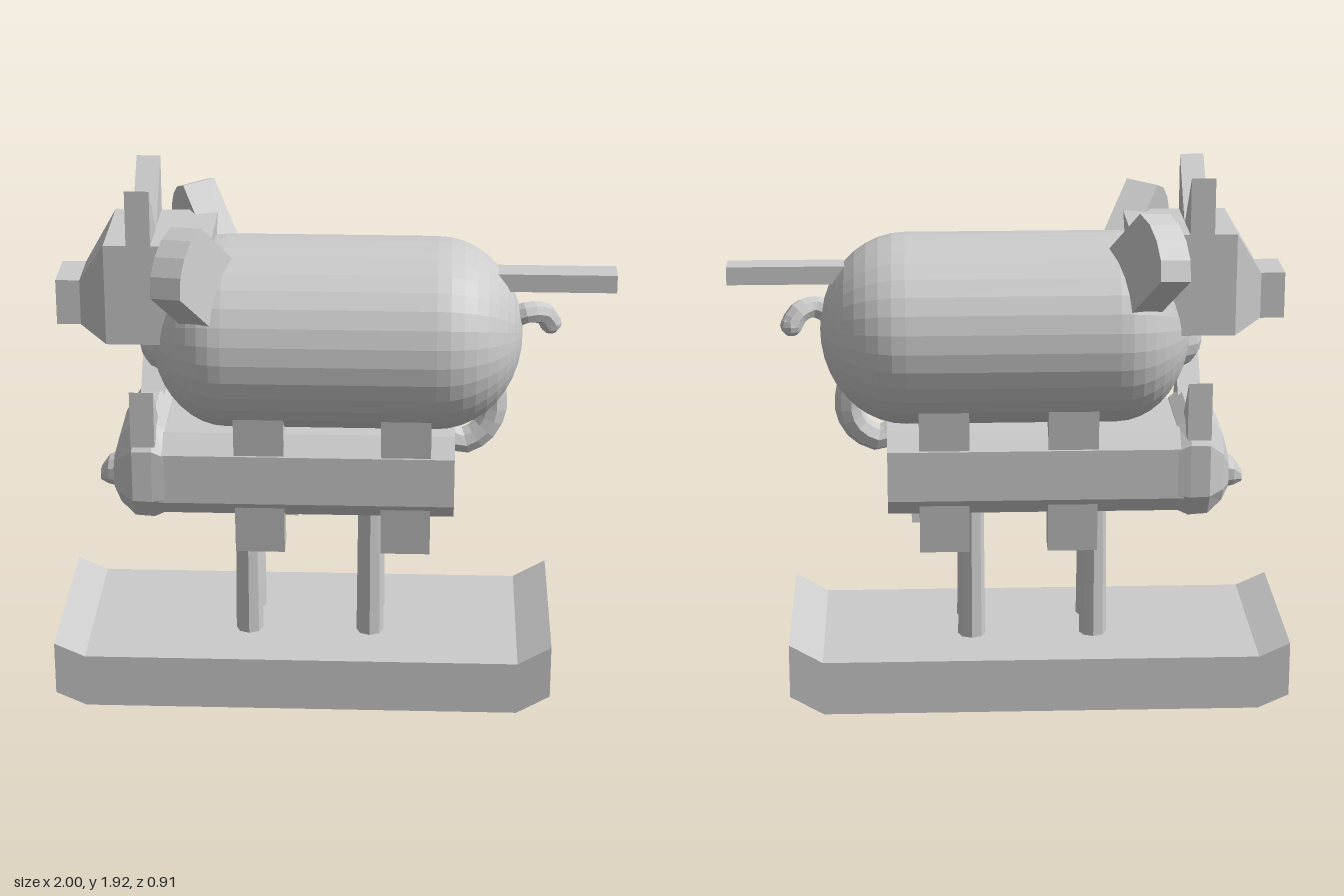
import * as THREE from 'three';

const material = new THREE.MeshStandardMaterial({ color: 0xcccccc, flatShading: true });

export function createModel() {
  const model = new THREE.Group();

  function add(name, geometry, x = 0, y = 0, z = 0) {
    const mesh = new THREE.Mesh(geometry, material);
    mesh.name = name;
    mesh.position.set(x, y, z);
    model.add(mesh);
    return mesh;
  }

  // Box given by its limits
  const block = (name, x0, x1, y0, y1, z0, z1) =>
    add(name, new THREE.BoxGeometry(x1 - x0, y1 - y0, z1 - z0), (x0 + x1) / 2, (y0 + y1) / 2, (z0 + z1) / 2);

  // Loft along x; each section is [x, halfWidth, bottom, top], cut = corner chamfer as a fraction
  function loft(sections, cut) {
    const rings = sections.map(([x, w, y0, y1]) => {
      const a = w * (1 - cut), c = (y1 - y0) * cut * 0.8;
      const yz = cut
        ? [[y1, a], [y1 - c, w], [y0 + c, w], [y0, a], [y0, -a], [y0 + c, -w], [y1 - c, -w], [y1, -a]]
        : [[y1, w], [y0, w], [y0, -w], [y1, -w]];
      return yz.map(([y, z]) => [x, y, z]);
    });
    const out = [], n = rings[0].length, last = rings.length - 1;
    const tri = (...points) => points.forEach((p) => out.push(...p));
    for (let r = 0; r < last; r++) {
      for (let i = 0; i < n; i++) {
        const j = (i + 1) % n, a = rings[r], b = rings[r + 1];
        tri(a[i], a[j], b[j]);
        tri(a[i], b[j], b[i]);
      }
    }
    for (let i = 1; i < n - 1; i++) {
      tri(rings[0][0], rings[0][i + 1], rings[0][i]);
      tri(rings[last][0], rings[last][i], rings[last][i + 1]);
    }
    const geometry = new THREE.BufferGeometry();
    geometry.setAttribute('position', new THREE.Float32BufferAttribute(out, 3));
    geometry.computeVertexNormals();
    return geometry;
  }

  // Extruded outline centred on its depth
  function plate(points, depth) {
    const shape = new THREE.Shape(points.map(([x, y]) => new THREE.Vector2(x, y)));
    return new THREE.ExtrudeGeometry(shape, { depth, bevelEnabled: false }).translate(0, 0, -depth / 2);
  }

  // Tube with a rounded tip at the end
  function tail(name, points, radius) {
    const curve = new THREE.CatmullRomCurve3(points.map((p) => new THREE.Vector3(...p)));
    add(name, new THREE.TubeGeometry(curve, 8, radius, 8));
    add(name + 'Tip', new THREE.SphereGeometry(radius, 8, 6), ...points[points.length - 1]);
  }

  // Sled-like base with upturned ends
  add('base', plate([[-1, 0.05], [-0.89, 0], [0.68, 0], [0.8, 0.07], [0.8, 0.27],
    [0.68, 0.2], [-0.89, 0.2], [-1, 0.25]], 0.71));

  // Lower animal: body, head and snout
  add('lowerBody', loft([[-0.62, 0.235, 0.7, 1.015], [0.44, 0.235, 0.7, 1.015]], 0.26));
  add('lowerHead', loft([[-0.79, 0.12, 0.75, 0.88], [-0.765, 0.18, 0.72, 0.97],
    [-0.71, 0.24, 0.685, 1.05], [-0.64, 0.24, 0.68, 1.055], [-0.595, 0.235, 0.7, 1.02]], 0.3));
  add('lowerSnout', loft([[-0.85, 0.03, 0.755, 0.795], [-0.82, 0.05, 0.745, 0.835],
    [-0.77, 0.06, 0.735, 0.855]], 0.35));
  tail('lowerTail', [[0.4, 0.96, 0.02], [0.47, 0.93, 0.01], [0.55, 0.98, 0], [0.58, 1.06, -0.01],
    [0.57, 1.14, -0.015]], 0.05);

  // Lower legs
  for (const x of [-0.305, 0.14]) {
    for (const z of [0.1, -0.09]) {
      add('lowerLeg', new THREE.CylinderGeometry(0.045, 0.05, 0.56, 8), x, 0.47, z);
    }
  }

  // Upper animal: long rounded body
  const profile = [];
  const steps = 10;
  for (let i = 0; i <= steps; i++) {
    const a = (i / steps) * Math.PI / 2;
    profile.push(new THREE.Vector2(0.352 * Math.sin(a), -0.38 - 0.27 * Math.cos(a)));
  }
  for (let i = steps; i >= 0; i--) {
    const a = (i / steps) * Math.PI / 2;
    profile.push(new THREE.Vector2(0.352 * Math.sin(a), 0.37 + 0.305 * Math.cos(a)));
  }
  const body = new THREE.LatheGeometry(profile, 32).rotateZ(-Math.PI / 2).scale(1, 0.975, 1);
  add('upperBody', body, 0, 1.343, 0);
  add('chin', new THREE.SphereGeometry(0.1, 10, 8), -0.595, 1.29, 0);

  // Upper head with tapering muzzle
  add('upperHead', loft([[-0.89, 0.1, 1.395, 1.56], [-0.79, 0.2, 1.36, 1.725], [-0.42, 0.2, 1.36, 1.725]], 0));
  block('upperSnout', -0.975, -0.885, 1.395, 1.56, -0.1, 0.1);

  // Rod and curled tail at the rear
  block('rearRod', 0.57, 1, 1.52, 1.585, -0.05, 0.05);
  tail('upperTail', [[0.62, 1.39, -0.01], [0.69, 1.425, 0], [0.75, 1.41, -0.03], [0.775, 1.37, -0.045]], 0.04);

  // Paired parts on both sides
  for (const side of [1, -1]) {
    // Pointed horns: right triangles standing across the heads
    const horn = (name, z, y0, y1) => {
      const mesh = add(name, plate([[0, y0], [0.2, y0], [0.2, y1]].map(([u, v]) => [-side * (u + z), v]), 0.085), -0.667);
      mesh.rotation.y = Math.PI / 2;
    };
    horn('upperHorn', 0.005, 1.72, 1.925);
    horn('lowerHorn', 0.055, 0.99, 1.2);

    // Broad slab ears with a rounded outer edge
    const outward = new THREE.Vector3(-0.085, 0.145, 0.135 * side).normalize();
    const across = new THREE.Vector3(0.065, 0.195, -0.185 * side).normalize();
    const normal = new THREE.Vector3().crossVectors(across, outward).normalize();
    across.crossVectors(outward, normal);
    const ear = plate([[-0.135, -0.12], [0.135, -0.12], [0.135, 0.2], [0.07, 0.235],
      [0, 0.245], [-0.07, 0.235], [-0.135, 0.2]], 0.12);
    ear.applyMatrix4(new THREE.Matrix4().makeBasis(across, outward, normal));
    add('upperEar', ear, -0.445, 1.58, 0.215 * side);

    // Straddling legs that lean inward through the lower body
    const shift = side > 0 ? 0 : 0.035;
    for (const x of [-0.257 + shift, 0.267 - shift / 1.2]) {
      const leg = add('upperLeg', new THREE.BoxGeometry(0.178, 0.56, 0.095), x, 0.84, 0.173 * side);
      leg.rotation.x = 0.1 * side;
    }
  }

  return model;
}
